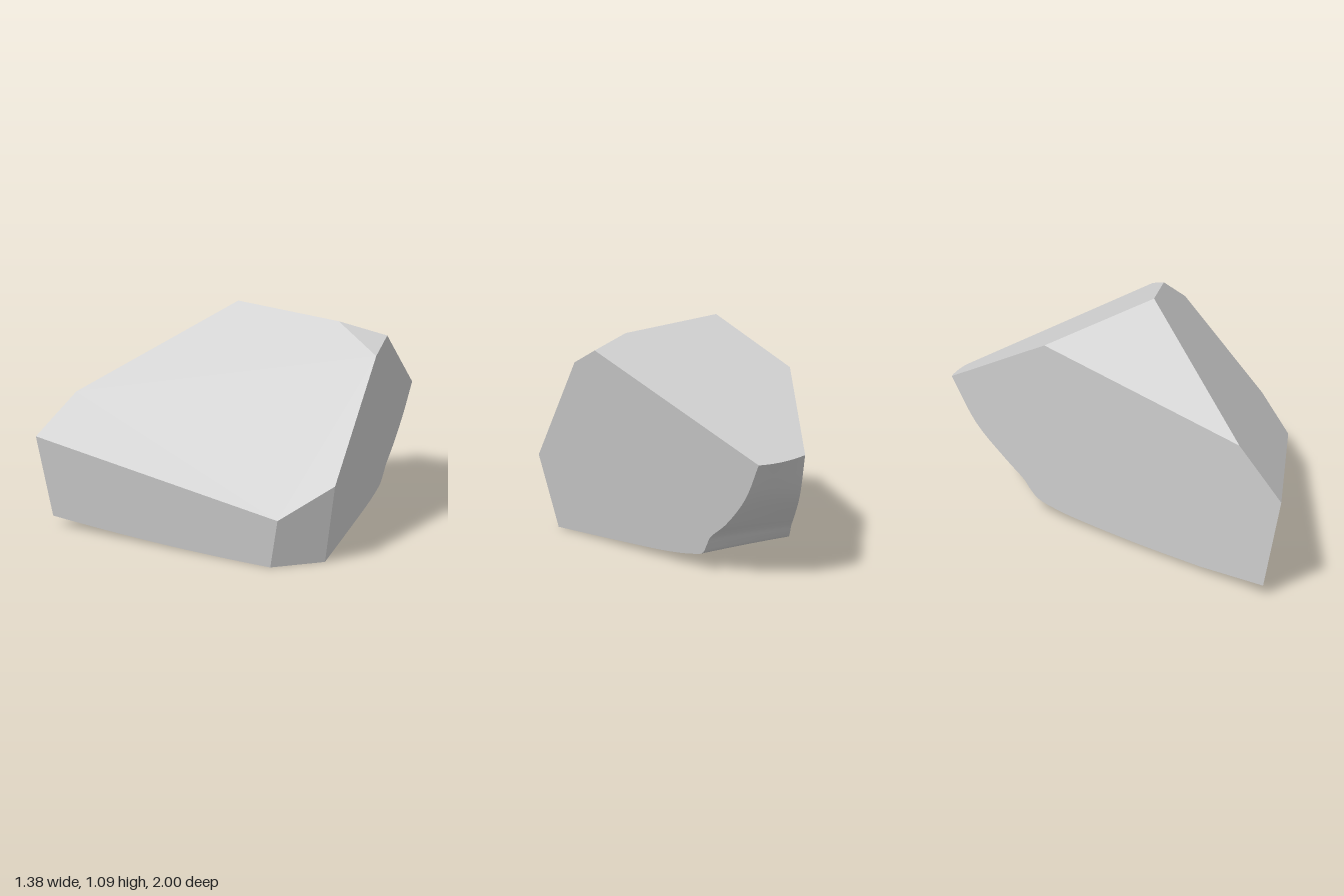
import * as THREE from 'three';

const V = (x, y, z) => new THREE.Vector3(x, y, z);
const material = new THREE.MeshStandardMaterial({ color: 0xcccccc });
const CENTRE = V(0, 0.4, 0.1);

// Flat polygon from its corners, always facing away from the stone's centre
function facet(name, pts) {
  const normal = V(0, 0, 0), mid = V(0, 0, 0);
  pts.forEach((p, i) => {
    normal.add(p.clone().cross(pts[(i + 1) % pts.length]));
    mid.addScaledVector(p, 1 / pts.length);
  });
  normal.normalize();
  if (normal.dot(mid.sub(CENTRE)) < 0) normal.negate();
  const u = pts[1].clone().sub(pts[0]).cross(normal).normalize();
  const v = normal.clone().cross(u);
  const flat = pts.map(p => new THREE.Vector2(p.dot(u), p.dot(v)));
  const position = [], normals = [];
  for (const [a, b, c] of THREE.ShapeUtils.triangulateShape(flat, [])) {
    const ab = flat[b].clone().sub(flat[a]), ac = flat[c].clone().sub(flat[a]);
    const order = ab.cross(ac) > 0 ? [a, b, c] : [a, c, b];
    for (const i of order) {
      position.push(...pts[i].toArray());
      normals.push(...normal.toArray());
    }
  }
  const geo = new THREE.BufferGeometry();
  geo.setAttribute('position', new THREE.Float32BufferAttribute(position, 3));
  geo.setAttribute('normal', new THREE.Float32BufferAttribute(normals, 3));
  const mesh = new THREE.Mesh(geo, material);
  mesh.name = name;
  return mesh;
}

// Smooth skin over rows of points
function skin(name, rows) {
  const n = rows[0].length, index = [];
  for (let i = 0; i < rows.length - 1; i++) {
    for (let j = 0; j < n - 1; j++) {
      const a = i * n + j, b = a + 1, c = a + n, d = c + 1;
      index.push(a, b, c, b, d, c);
    }
  }
  const geo = new THREE.BufferGeometry().setFromPoints(rows.flat());
  geo.setIndex(index);
  geo.computeVertexNormals();
  const mesh = new THREE.Mesh(geo, material);
  mesh.name = name;
  return mesh;
}

export function createModel() {
  const group = new THREE.Group();
  group.name = 'stone';

  // Upper corners
  const peak = V(-0.19, 1.085, 0.15);
  const ridge = V(0.3, 1.018, -0.05);
  const chipBack = V(0.47, 0.955, -0.2);
  const chipFront = V(0.545, 0.885, -0.05);
  const sideCorner = V(0.685, 0.375, 0.34);
  const frontCorner = V(0.545, 0.23, 0.55);
  const tip = V(-0.69, 0.458, 1);
  const tipTop = V(-0.65, 0.655, 0.79);
  const shoulder = V(-0.44, 0.865, -0.29);

  // Underside edges as [z, y], each lying in its side plane
  const edgeA = [[-0.925, 0.57], [-0.767, 0.36], [-0.565, 0.213], [-0.45, 0.14], [-0.41, 0.1],
    [-0.36, 0.065], [-0.22, 0.04], [-0.06, 0.03], [0.25, 0.022], [0.6, 0.025]]
    .map(([z, y]) => V(-0.495 - 0.194 * z, y, z));
  const edgeB = [[-1, 0.55], [-0.9, 0.385], [-0.77, 0.245], [-0.67, 0.165], [-0.64, 0.12],
    [-0.61, 0.08], [-0.54, 0.06], [-0.4, 0.04], [-0.05, 0.018], [0.31, 0]]
    .map(([z, y]) => V(0.407 + 0.19 * y + 0.603 * z, y, z));
  const sample = pts => new THREE.CatmullRomCurve3(pts, false, 'centripetal').getPoints(45);
  const curveA = [...sample(edgeA), V(-0.68, 0.05, 0.93)];
  const curveB = [...sample(edgeB), V(0.485, 0, 0.54)];

  // Slightly bowed rows between the two edges
  const STEPS = 16, last = curveA.length - 1;
  const rows = curveA.map((a, i) => Array.from({ length: STEPS + 1 }, (_, j) => {
    const t = j / STEPS, p = a.clone().lerp(curveB[i], t);
    p.y = curveB[i].y + (a.y - curveB[i].y) * (1 - t) ** 2;
    p.z -= 0.05 * t * (1 - t) * (1 - i / last);
    return p;
  }));

  group.add(
    skin('hollowUnderside', rows),
    facet('topFace', [peak, ridge, chipBack, ...rows[0].slice().reverse(), shoulder]),
    facet('slopingFrontFace', [peak, ridge, chipFront, sideCorner, frontCorner, tip, tipTop]),
    facet('cornerChip', [ridge, chipBack, chipFront]),
    facet('slopingSideFace', [peak, shoulder, tipTop]),
    facet('frontFace', [tip, frontCorner, ...rows[last].slice().reverse()]),
    facet('frontCornerFace', [frontCorner, sideCorner, curveB[last - 1], curveB[last]]),
    facet('leftFace', [sideCorner, chipFront, chipBack, ...curveB.slice(0, last)]),
    facet('rightFace', [tip, tipTop, shoulder, ...curveA]),
  );
  return group;
}
